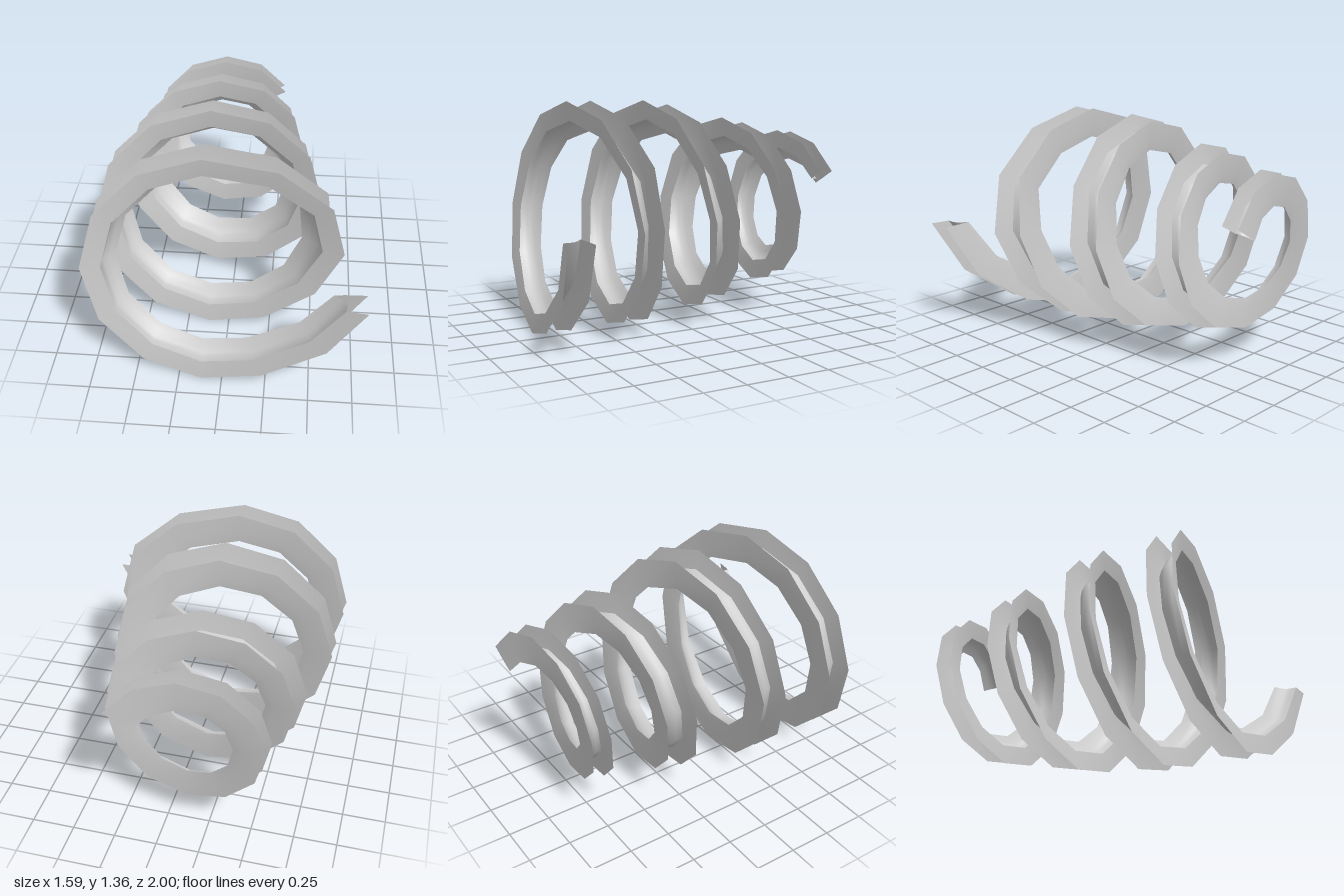
import * as THREE from 'three';

const STEPS = 47;            // twelve straight segments per turn
const CX = -0.12, CY = 0.677; // axis of the coil

// linear interpolation through [key, value] pairs with rising keys
function lookup(pairs, t) {
  if (t <= pairs[0][0]) return pairs[0][1];
  for (let i = 1; i < pairs.length; i++) {
    const [a, va] = pairs[i - 1], [b, vb] = pairs[i];
    if (t <= b) return va + (vb - va) * (t - a) / (b - a);
  }
  return pairs[pairs.length - 1][1];
}

// depth of the front rim, channel width and coil radius
const rimZ = [[0, 1], [6, 0.755], [12, 0.52], [18, 0.27], [21, 0.14], [24, 0], [30, -0.285],
  [36, -0.55], [39, -0.65], [42, -0.76], [45, -0.845], [47, -0.9]];
const widths = [[0, 0.148], [18, 0.155], [24, 0.175], [30, 0.168], [36, 0.14], [42, 0.11], [47, 0.1]];
const radii = [[-1, 0.45], [-0.77, 0.475], [-0.57, 0.527], [-0.3, 0.587], [-0.03, 0.65], [0.12, 0.677], [0.2, 0.68]];
// sideways flare of the first turn, at the front and rear rims
const flareFront = [[0, 0.23], [1, 0.12], [2, 0.01], [3, 0], [9, 0], [10, 0.07], [11, 0.12], [12, 0.11], [13, 0.05], [14, 0]];
const flareRear = [[0, 0.23], [1, 0.12], [2, 0.01], [3, 0], [9, 0], [10, 0.05], [11, 0.09], [12, 0.04], [13, 0.01], [14, 0]];

// point of the coil: step, depth inward from the rim, fraction across the width
function coilPoint(n, [inward, across]) {
  const a = -n * Math.PI / 6;
  const z = lookup(rimZ, n) - across * lookup(widths, n);
  const r = lookup(radii, z) - inward;
  const flare = THREE.MathUtils.lerp(lookup(flareFront, n), lookup(flareRear, n), across);
  return [CX + r * Math.cos(a) + flare, CY + r * Math.sin(a), z];
}

// sweep an open cross-section along the coil
function strip(name, section, material) {
  const positions = [], index = [], m = section.length;
  for (let n = 0; n <= STEPS; n++) {
    for (const p of section) positions.push(...coilPoint(n, p));
    if (n === STEPS) break;
    for (let j = 0; j < m - 1; j++) {
      const a = n * m + j, b = a + m;
      index.push(a, b, a + 1, a + 1, b, b + 1);
    }
  }
  const g = new THREE.BufferGeometry();
  g.setAttribute('position', new THREE.Float32BufferAttribute(positions, 3));
  g.setIndex(index);
  g.computeVertexNormals();
  const mesh = new THREE.Mesh(g, material);
  mesh.name = name;
  return mesh;
}

export function createModel() {
  const group = new THREE.Group();
  group.name = 'spiralChannel';
  const material = new THREE.MeshStandardMaterial({ color: 0xcccccc, side: THREE.DoubleSide });

  // narrow rim facing the front
  group.add(strip('frontFlange', [[0, 0], [0.115, 0.12]], material));
  // floor that curves inward to the rear lip
  group.add(strip('channelFloor', [[0.115, 0.12], [0.113, 0.35], [0.118, 0.56], [0.145, 0.76], [0.18, 0.93]], material));
  // wide rim facing the back
  group.add(strip('rearFlange', [[0.18, 0.93], [0.12, 0.97], [0, 1]], material));
  return group;
}
